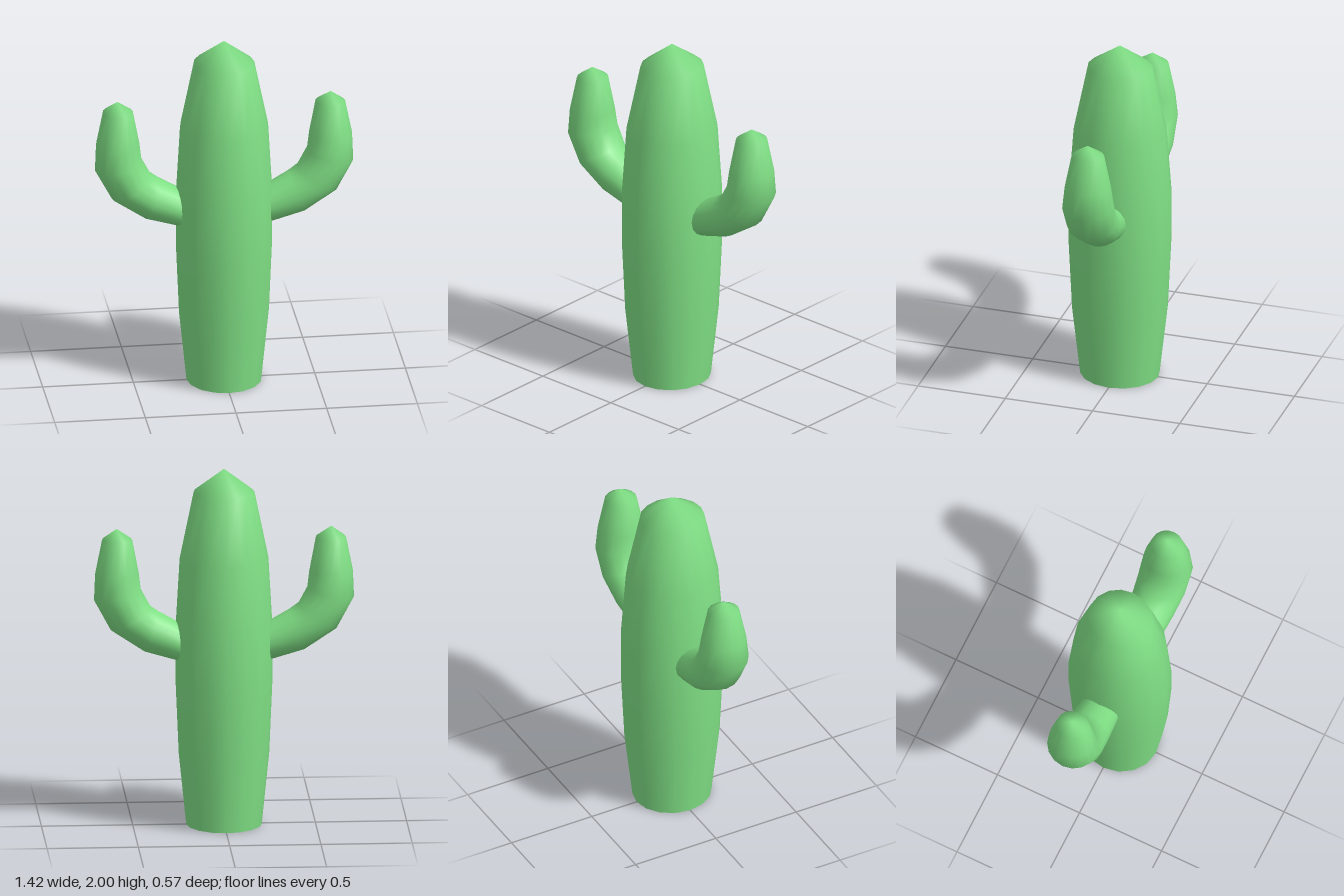
import * as THREE from 'three';

const SIDES = 16;
const material = new THREE.MeshStandardMaterial({ color: 0x80e085 });

// Smooth skin over elliptical rings, closed by a pointed tip.
// Each ring is [ax, ay, bx, by, rz]: the two ends of its axis in the xy plane and its z radius.
function loft(rings, tip) {
  const pos = [], index = [];
  for (const [ax, ay, bx, by, rz] of rings) {
    for (let j = 0; j < SIDES; j++) {
      const t = (j / SIDES) * Math.PI * 2, c = Math.cos(t) / 2;
      pos.push((ax + bx) / 2 + (bx - ax) * c, (ay + by) / 2 + (by - ay) * c, rz * Math.sin(t));
    }
  }
  pos.push(tip[0], tip[1], 0);
  const apex = rings.length * SIDES;
  for (let i = 0; i < rings.length; i++) {
    for (let j = 0; j < SIDES; j++) {
      const k = (j + 1) % SIDES, low = i * SIDES, up = low + SIDES;
      if (up === apex) index.push(low + j, apex, low + k);
      else index.push(low + j, up + j, low + k, up + j, up + k, low + k);
    }
  }
  const geometry = new THREE.BufferGeometry();
  geometry.setAttribute('position', new THREE.Float32BufferAttribute(pos, 3));
  geometry.setIndex(index);
  geometry.computeVertexNormals();
  return geometry;
}

function addMesh(parent, name, geometry) {
  const mesh = new THREE.Mesh(geometry, material);
  mesh.name = name;
  parent.add(mesh);
  return mesh;
}

export function createModel() {
  const group = new THREE.Group();
  group.name = 'cactus';

  // Trunk: height, x radius, z radius
  const trunk = [
    [0, 0.207, 0.22], [0.4, 0.248, 0.265], [0.8, 0.265, 0.284],
    [1.12, 0.265, 0.284], [1.5, 0.243, 0.256], [1.87, 0.167, 0.18],
  ].map(([y, rx, rz]) => [-rx, y, rx, y, rz]);
  addMesh(group, 'trunk', loft(trunk, [0, 2]));

  // Flat underside of the trunk
  const base = addMesh(group, 'trunkBase', new THREE.CircleGeometry(1, SIDES));
  base.rotation.x = Math.PI / 2;
  base.scale.set(0.207, 0.22, 1);

  // Arms: inner and outer edge of each ring, starting inside the trunk
  const arm = loft([
    [0.12, 1.07, 0.14, 0.9, 0.09],
    [0.25, 1.14, 0.27, 0.93, 0.113],
    [0.355, 1.2, 0.44, 0.98, 0.128],
    [0.405, 1.235, 0.62, 1.1, 0.14],
    [0.456, 1.33, 0.712, 1.27, 0.143],
    [0.467, 1.42, 0.706, 1.42, 0.128],
    [0.503, 1.61, 0.668, 1.61, 0.09],
  ], [0.588, 1.67]);
  addMesh(group, 'leftArm', arm);
  addMesh(group, 'rightArm', arm).rotation.y = Math.PI;

  return group;
}
